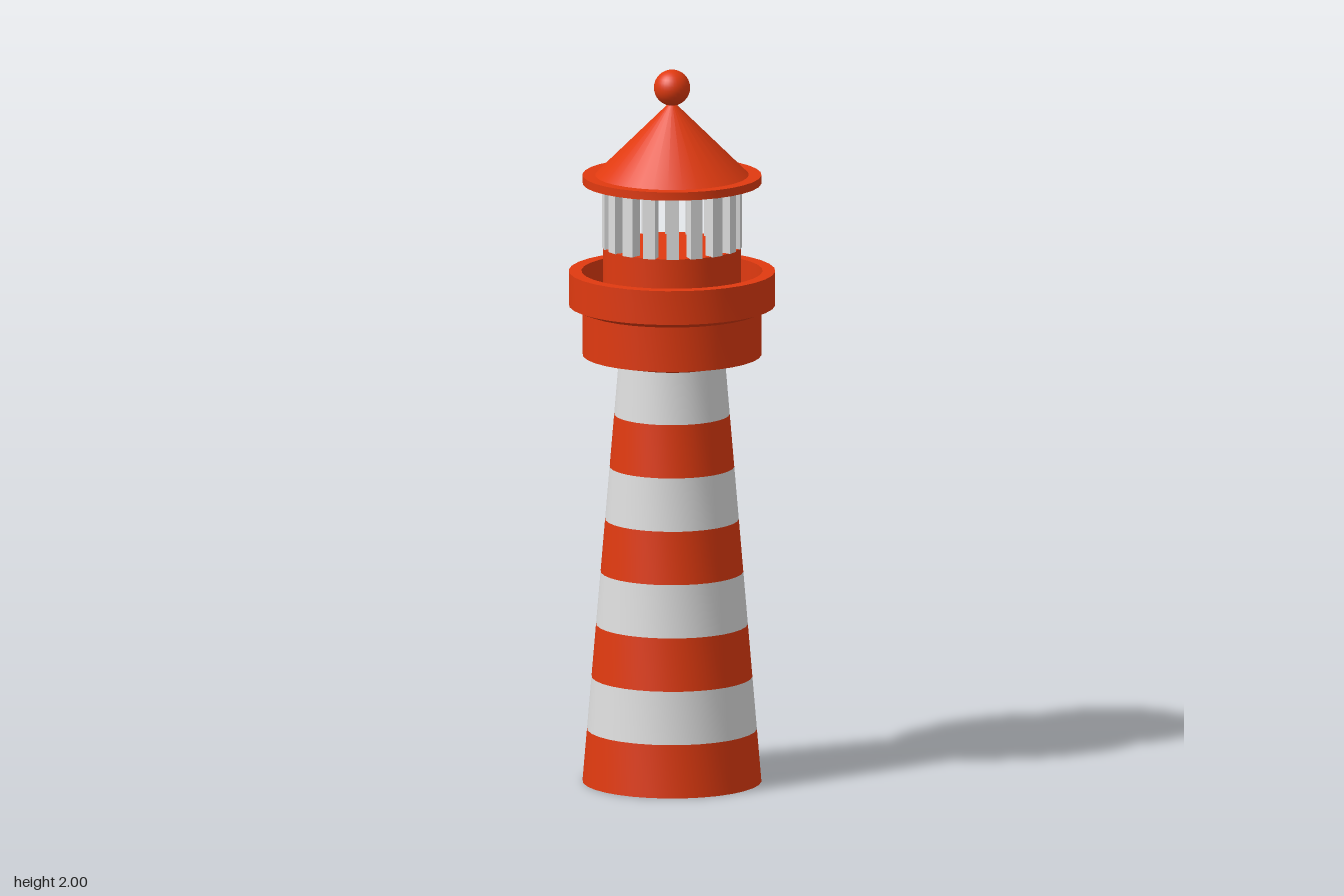
import * as THREE from 'three';
import { toCreasedNormals } from 'three/addons/utils/BufferGeometryUtils.js';

const SIDES = 32;

export function createModel() {
  const model = new THREE.Group();
  model.name = 'lighthouse';

  const red = new THREE.MeshStandardMaterial({ color: 0xe03a10 });
  red.name = 'red paint';
  const white = new THREE.MeshStandardMaterial({ color: 0xdedede });
  white.name = 'white paint';

  const add = (name, geometry, material, parent = model) => {
    const mesh = new THREE.Mesh(geometry, material);
    mesh.name = name;
    parent.add(mesh);
    return mesh;
  };

  // Turned part from [radius, height] pairs, listed from the bottom outwards and up
  const turned = (name, profile, material, parent) => {
    const points = profile.map(([r, y]) => new THREE.Vector2(r, y));
    const geometry = toCreasedNormals(new THREE.LatheGeometry(points, SIDES), 0.35);
    return add(name, geometry, material, parent);
  };

  // Tapered tower of alternating bands
  const tower = new THREE.Group();
  tower.name = 'tower';
  model.add(tower);
  const bands = 8, towerTop = 1.18, bottomRadius = 0.247, topRadius = 0.147;
  for (let i = 0; i < bands; i++) {
    const at = (k) => [THREE.MathUtils.lerp(bottomRadius, topRadius, k / bands), (towerTop * k) / bands];
    const profile = [at(i), at(i + 1)];
    if (i === 0) profile.unshift([0, 0]);
    turned('towerBand' + (i + 1), profile, i % 2 ? white : red, tower);
  }

  // Gallery drum with a wider, hollow parapet
  turned('gallery', [
    [0, 1.178], [0.15, 1.178], [0.247, 1.2], [0.247, 1.325], [0.285, 1.34],
    [0.285, 1.435], [0.25, 1.435], [0.25, 1.34], [0, 1.34],
  ], red);

  // Lantern room base
  turned('lanternBase', [[0.19, 1.34], [0.19, 1.505], [0, 1.505]], red);

  // Ring of open lantern posts
  const posts = new THREE.Group();
  posts.name = 'lanternPosts';
  model.add(posts);
  const count = 18;
  const postGeometry = new THREE.BoxGeometry(0.035, 0.18, 0.032);
  for (let i = 0; i < count; i++) {
    const angle = (3 * Math.PI) / 4 + (i * 2 * Math.PI) / count;
    const post = add('lanternPost', postGeometry, white, posts);
    post.position.set(0.177 * Math.sin(angle), 1.594, 0.177 * Math.cos(angle));
    post.rotation.y = angle;
  }

  // Roof: flat eave, cone and ball
  turned('roofEave', [[0, 1.682], [0.247, 1.682], [0.247, 1.705], [0, 1.705]], red);
  turned('roofCone', [[0.212, 1.705], [0, 1.915]], red);
  add('roofBall', new THREE.SphereGeometry(0.05, SIDES, 16), red).position.y = 1.95;

  return model;
}
